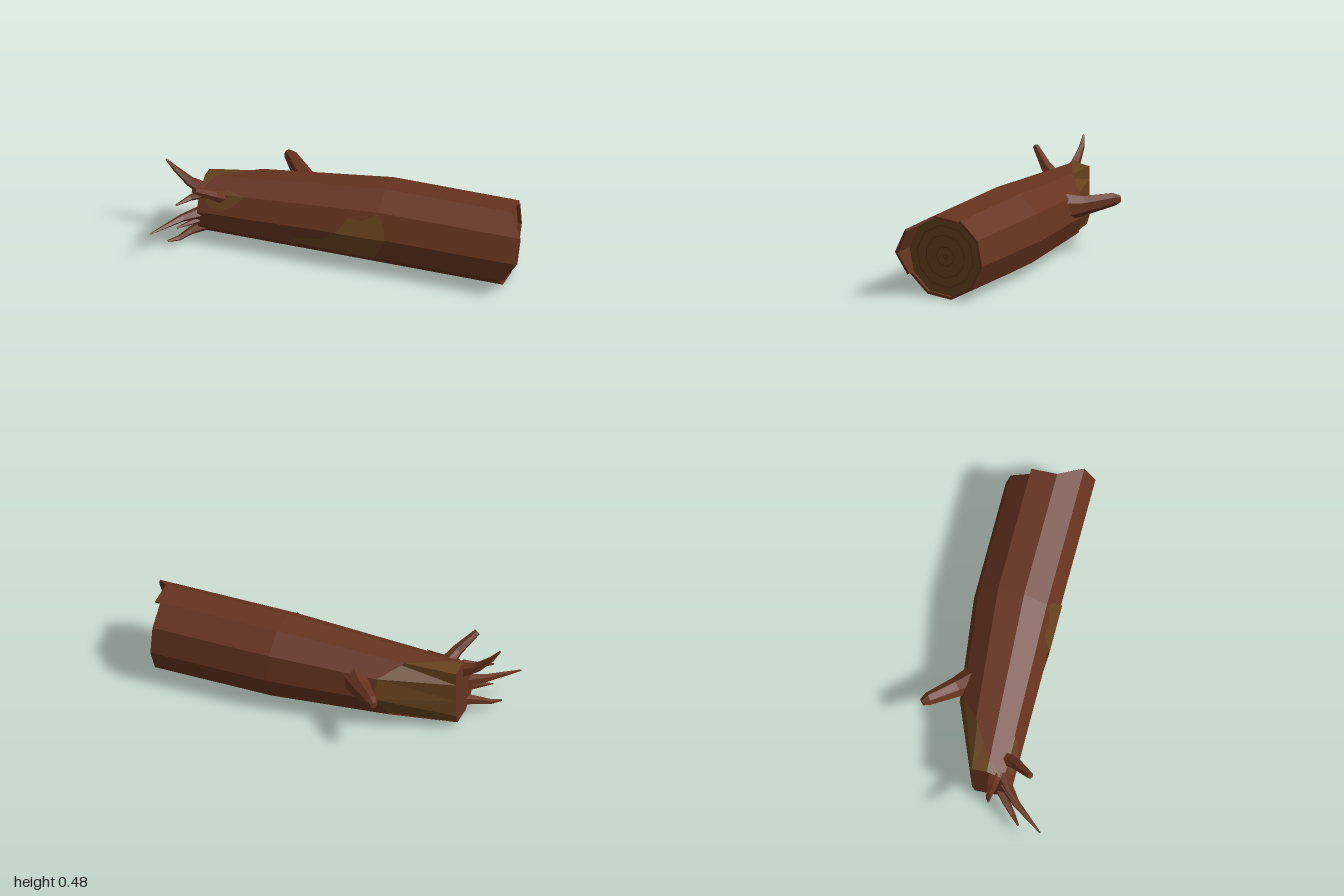
import * as THREE from 'three';

const SIDES = 10;
const material = (color) => new THREE.MeshStandardMaterial({ color, flatShading: true, side: THREE.DoubleSide });
const bark = material(0x66331f);
const wood = material(0x66411d);
const ringWood = material(0x55301a);

// Point on the trunk: x along the log, u counts the corners of the ten-sided section
function trunkPoint(x, u, scale = 1) {
  const t = THREE.MathUtils.clamp((0.2 - x) / 1.0, 0, 1);
  const r = THREE.MathUtils.lerp(0.235, 0.175, t) * scale;
  const cy = THREE.MathUtils.lerp(0.235, 0.21, t);
  const cz = THREE.MathUtils.lerp(-0.045, 0.02, t);
  const corner = (i) => {
    const a = THREE.MathUtils.degToRad(101 - 36 * i);
    return new THREE.Vector3(x, cy + r * Math.sin(a), cz - r * Math.cos(a));
  };
  const i = Math.floor(u);
  return corner(i).lerp(corner(i + 1), u - i);
}

function meshFrom(name, points, mat) {
  const g = new THREE.BufferGeometry().setFromPoints(points);
  g.computeVertexNormals();
  const m = new THREE.Mesh(g, mat);
  m.name = name;
  return m;
}

// a-b runs along the length, a-d runs around the section
const quad = (out, a, b, c, d) => out.push(a, b, d, b, c, d);

function loft(out, rings) {
  for (let k = 0; k < rings.length - 1; k++) {
    const n = rings[k].length;
    for (let i = 0; i < n; i++) {
      const j = (i + 1) % n;
      quad(out, rings[k][i], rings[k + 1][i], rings[k + 1][j], rings[k][j]);
    }
  }
}

function cap(out, ring, flip) {
  const c = ring.reduce((s, p) => s.add(p), new THREE.Vector3()).divideScalar(ring.length);
  ring.forEach((p, i) => {
    const q = ring[(i + 1) % ring.length];
    if (flip) out.push(c, p, q);
    else out.push(c, q, p);
  });
}

const section = (xs, scale) =>
  Array.from({ length: SIDES }, (_, i) => trunkPoint(Array.isArray(xs) ? xs[i] : xs, i, scale));

// Bent, tapering root or branch
function limb(name, path, radii, sides = 6) {
  const pts = path.map((p) => new THREE.Vector3(...p));
  const rings = pts.map((p, k) => {
    const d = pts[Math.min(k + 1, pts.length - 1)].clone().sub(pts[Math.max(k - 1, 0)]).normalize();
    const u = new THREE.Vector3(0, 1, 0).cross(d).normalize();
    const v = d.clone().cross(u);
    return Array.from({ length: sides }, (_, i) => {
      const a = (i / sides) * Math.PI * 2;
      return p.clone().addScaledVector(u, Math.cos(a) * radii[k]).addScaledVector(v, -Math.sin(a) * radii[k]);
    });
  });
  const out = [];
  loft(out, rings);
  cap(out, rings[rings.length - 1], false);
  return meshFrom(name, out, bark);
}

// Flat outline in (x, corner number) laid on one face of the trunk
function patch(name, outline) {
  const g = new THREE.ShapeGeometry(new THREE.Shape(outline.map((p) => new THREE.Vector2(...p))));
  const pos = g.attributes.position;
  for (let i = 0; i < pos.count; i++) {
    const p = trunkPoint(pos.getX(i), pos.getY(i), 1.03);
    pos.setXYZ(i, p.x, p.y, p.z);
  }
  g.computeVertexNormals();
  const m = new THREE.Mesh(g, wood);
  m.name = name;
  return m;
}

export function createModel() {
  const log = new THREE.Group();
  log.name = 'fallenLog';

  // Bark, peeled back at the rear of the root end
  const peel = [-0.74, -0.52, -0.4, -0.39, -0.46, -0.7, -0.8, -0.8, -0.8, -0.8];
  const shell = [];
  loft(shell, [section(peel), section(0.2)]);

  // Broken end: every stave of bark has its own length
  const ends = [[0.91, 0.91], ...Array(6).fill([0.88, 0.88]), [0.91, 1], [1, 1], [1, 0.91]];
  ends.forEach(([e0, e1], i) => {
    const at = (x, u, s) => trunkPoint(x, u, s);
    const inner = 0.935;
    const o0 = at(e0, i), o1 = at(e1, i + 1);
    const n0 = at(e0, i, inner), n1 = at(e1, i + 1, inner);
    const b0 = at(0.86, i, inner), b1 = at(0.86, i + 1, inner);
    quad(shell, at(0.2, i), o0, o1, at(0.2, i + 1));
    quad(shell, o0, n0, n1, o1);
    quad(shell, n0, b0, b1, n1);
    quad(shell, at(0.86, i), b0, n0, o0);
    quad(shell, at(0.86, i + 1), o1, n1, b1);
  });
  log.add(meshFrom('bark', shell, bark));

  // Wooden core, cut flat where the bark is missing
  const rootEnd = section(-0.8, 0.97);
  rootEnd.forEach((p) => { p.z = Math.max(p.z, -0.03); });
  const core = [];
  loft(core, [rootEnd, section(-0.4, 0.97), section(0.2, 0.95), section(0.86, 0.95)]);
  log.add(meshFrom('woodCore', core, wood));
  const back = [];
  cap(back, rootEnd, true);
  log.add(meshFrom('rootEnd', back, bark));

  // Sawn face with growth rings
  const face = new THREE.Group();
  face.name = 'growthRings';
  face.position.set(0.862, 0.235, -0.045);
  face.rotation.y = Math.PI / 2;
  const phase = THREE.MathUtils.degToRad(29);
  face.add(new THREE.Mesh(new THREE.CircleGeometry(0.221, SIDES, phase), wood));
  [0.015, 0.056, 0.122, 0.175].forEach((r, k) => {
    const ring = new THREE.Mesh(new THREE.RingGeometry(r - 0.005, r, SIDES, 1, phase + k * 0.2), ringWood);
    ring.position.z = 0.002;
    face.add(ring);
  });
  face.children.forEach((m, i) => { m.name = i ? 'growthRing' : 'sawnFace'; });
  log.add(face);

  // Bare patches where the bark has chipped off the front
  log.add(patch('sidePatchLower', [[-0.3, 7.1], [-0.15, 7.08], [0.16, 7.02], [0.19, 7.05], [0.26, 8],
    [-0.02, 8], [-0.12, 7.52], [-0.22, 7.48]]));
  log.add(patch('sidePatchUpper', [[-0.02, 8], [0.26, 8], [0.24, 8.55], [0.2, 8.95], [0.12, 8.6], [0.04, 8.65]]));
  log.add(patch('branchPatchLower', [[-0.76, 8.55], [-0.72, 8.3], [-0.65, 8.3], [-0.6, 8.5], [-0.55, 9], [-0.74, 9]]));
  log.add(patch('branchPatchUpper', [[-0.74, 9], [-0.55, 9], [-0.62, 9.2], [-0.69, 9.15]]));

  // Branch stubs
  log.add(limb('frontBranch', [[-0.67, 0.3, 0.11], [-0.71, 0.36, 0.19], [-0.785, 0.438, 0.29]], [0.045, 0.032, 0.018]));
  log.add(limb('rearBranch', [[-0.26, 0.27, -0.14], [-0.34, 0.275, -0.24], [-0.45, 0.3, -0.365], [-0.475, 0.3, -0.39]],
    [0.085, 0.055, 0.036, 0.02], 7));

  // Roots fanning out of the narrow end
  const roots = [
    [[[-0.76, 0.3, 0.09], [-0.87, 0.35, 0.095], [-0.95, 0.42, 0.1], [-0.998, 0.478, 0.112]], [0.045, 0.028, 0.016, 0.005]],
    [[[-0.76, 0.21, 0.13], [-0.87, 0.2, 0.23], [-0.995, 0.18, 0.398]], [0.04, 0.022, 0.004]],
    [[[-0.76, 0.11, 0.11], [-0.84, 0.085, 0.17], [-0.89, 0.058, 0.22], [-0.94, 0.056, 0.262]], [0.035, 0.022, 0.015, 0.006]],
    [[[-0.77, 0.32, 0.13], [-0.84, 0.305, 0.18], [-0.9, 0.288, 0.248]], [0.03, 0.017, 0.005]],
    [[[-0.77, 0.17, 0.14], [-0.83, 0.16, 0.2], [-0.89, 0.15, 0.26]], [0.025, 0.015, 0.004]],
  ];
  roots.forEach(([path, radii]) => log.add(limb('root', path, radii, 5)));

  return log;
}
